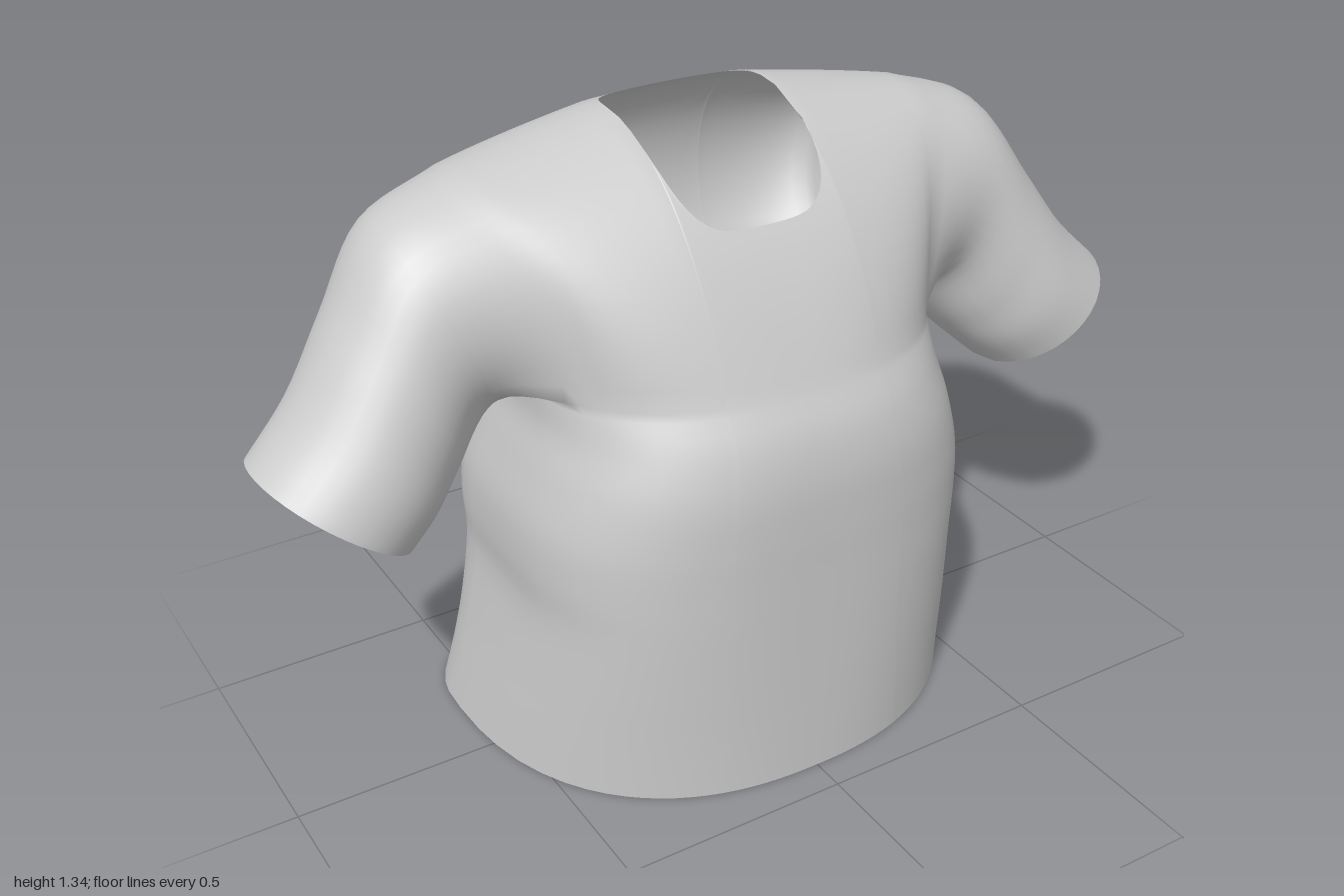
import * as THREE from 'three';
import { mergeGeometries, mergeVertices } from 'three/addons/utils/BufferGeometryUtils.js';

const V = (x, y, z) => new THREE.Vector3(x, y, z);
const lerp = THREE.MathUtils.lerp;
const Q_NECK = 0.4, Q_ARM = 0.91, NECK_X = 0.18, ARCH = 14;

// Surface through a grid of points (rows of equal length)
function grid(rows, closed, flip = false) {
  const n = rows[0].length, pos = [], idx = [];
  rows.forEach(r => r.forEach(p => pos.push(p.x, p.y, p.z)));
  for (let r = 0; r < rows.length - 1; r++) {
    for (let i = 0; i < (closed ? n : n - 1); i++) {
      const j = (i + 1) % n;
      const a = r * n + i, b = r * n + j, c = b + n, d = a + n;
      if (flip) idx.push(a, d, b, b, d, c);
      else idx.push(a, b, d, b, c, d);
    }
  }
  const g = new THREE.BufferGeometry();
  g.setAttribute('position', new THREE.Float32BufferAttribute(pos, 3));
  g.setIndex(idx);
  return g;
}

// Smooth interpolation between rings, vertex by vertex
function smoothRings(rings, steps) {
  const curves = rings[0].map((_, i) => new THREE.CatmullRomCurve3(rings.map(r => r[i])));
  return Array.from({ length: steps + 1 }, (_, k) => curves.map(c => c.getPoint(k / steps)));
}

// Columns across the chest, closer together beside the neck
const half = [];
for (let i = 0; i <= 14; i++) half.push(Q_NECK * Math.sin(i / 14 * Math.PI / 2));
for (let i = 1; i <= 10; i++) half.push(lerp(Q_NECK, Q_ARM, i / 10));
const columns = [...half.slice(1).reverse().map(q => -q), ...half];
const sideQ = [[0.95, 1], [0.98, 1], [0.995, 1], [1, 1], [0.995, -1], [0.98, -1], [0.95, -1]];

// Torso cross-section: q runs across the width, s is +1 front and -1 back
function torsoPoint([y, w, front, back, nFront, nBack, sideZ], q, s) {
  const n = s > 0 ? nFront : nBack;
  const f = Math.pow(Math.max(0, 1 - Math.pow(Math.abs(q), n)), 1 / n);
  return V(q * w, y, lerp(sideZ, s > 0 ? front : -back, f));
}
function torsoRing(section) {
  const reversed = [...columns].reverse();
  return [
    ...columns.map(q => torsoPoint(section, q, 1)),
    ...sideQ.map(([q, s]) => torsoPoint(section, q, s)),
    ...reversed.map(q => torsoPoint(section, q, -1)),
    ...sideQ.map(([q, s]) => torsoPoint(section, -q, -s)),
  ];
}
// height, half width, front depth, back depth, front and back squareness, z of the side
const sections = [
  [0, 0.565, 0.425, 0.425, 2.35, 3, -0.15],
  [0.12, 0.545, 0.425, 0.39, 2.45, 3.3, -0.1],
  [0.25, 0.523, 0.425, 0.362, 2.6, 3.8, -0.05],
  [0.4, 0.503, 0.425, 0.36, 2.75, 4.2, 0],
  [0.5, 0.508, 0.425, 0.36, 2.75, 4.2, 0],
  [0.6, 0.503, 0.425, 0.355, 2.75, 4, 0],
  [0.71, 0.475, 0.42, 0.33, 2.75, 3.7, 0],
  [0.8, 0.451, 0.4, 0.306, 2.6, 3.4, 0],
  [0.88, 0.45, 0.36, 0.305, 2.4, 3.1, 0],
];
const armpit = sections[sections.length - 1];

// Curve from armpit level up to the shoulder ridge, cut off at the neck opening
function yokeColumn(q, s) {
  const a = Math.abs(q), base = torsoPoint(armpit, q, s);
  const k = Math.max(0, (a - Q_NECK) / (Q_ARM - Q_NECK)), u = (a / Q_ARM) ** 2;
  const x = Math.sign(q) * (a <= Q_NECK ? a / Q_NECK * NECK_X : lerp(NECK_X, 0.52, k));
  const ridge = V(x, lerp(1.337, 1.285, k), lerp(-0.05, -0.08, k));
  const p1 = base.clone(), p2 = ridge.clone();
  if (s > 0) {
    p1.add(V(0, 0.2, lerp(-0.09, 0.01, u)));
    p2.add(V(0, lerp(-0.065, -0.005, u), lerp(0.22, 0.18, u)));
  } else {
    p1.add(V(0, lerp(0.22, 0.2, u), lerp(-0.105, -0.2, u)));
    p2.add(V(0, lerp(0.06, 0, u), lerp(-0.28, -0.21, u)));
  }
  const curve = new THREE.CubicBezierCurve3(base, p1, p2, ridge);
  let end = 1;
  if (a < Q_NECK - 1e-6) {
    const edgeZ = lerp(ridge.z, 0.2 * s, Math.pow(1 - Math.pow(a / Q_NECK, 4), 0.25));
    let low = 0.3;
    for (let i = 0; i < 24; i++) {
      const mid = (low + end) / 2;
      if ((curve.getPoint(mid).z - edgeZ) * s > 0) low = mid;
      else end = mid;
    }
  }
  return Array.from({ length: ARCH + 1 }, (_, i) => curve.getPoint(end * i / ARCH));
}
function yoke(s) {
  const cols = (s > 0 ? columns : [...columns].reverse()).map(q => yokeColumn(q, s));
  return grid(cols[0].map((_, t) => cols.map(c => c[t])), false);
}

// Sleeve rings, starting at the armhole and ending at the cuff
function sleeveRings() {
  const armhole = [
    ...yokeColumn(Q_ARM, 1).reverse(),
    ...sideQ.map(([q, s]) => torsoPoint(armpit, q, s)),
    ...yokeColumn(Q_ARM, -1).slice(0, -1),
  ];
  const angles = armhole.map(p => Math.atan2((p.y - 1.07) / 0.2, (p.z + 0.07) / 0.21));
  const ring = (top, bottom, front, back) => angles.map(t => V(
    lerp(bottom[0], top[0], (1 + Math.sin(t)) / 2),
    lerp(bottom[1], top[1], (1 + Math.sin(t)) / 2),
    (front + back) / 2 + (front - back) / 2 * Math.cos(t)));
  return smoothRings([
    armhole,
    ring([0.69, 1.22], [0.515, 0.81], 0.13, -0.28),
    ring([0.8, 1.065], [0.6, 0.715], 0.155, -0.24),
    ring([0.9, 0.92], [0.655, 0.66], 0.18, -0.205),
    ring([1.0, 0.82], [0.715, 0.605], 0.188, -0.178),
  ], 24);
}

// Folded edge lying just inside an opening
function foldedEdge(rings, inset) {
  return rings.map((ring, k) => {
    if (k === 0) return ring;
    const centre = ring.reduce((c, p) => c.add(p), V(0, 0, 0)).divideScalar(ring.length);
    return ring.map(p => p.clone().lerp(centre, inset));
  });
}

export function createModel() {
  const group = new THREE.Group();
  const material = new THREE.MeshStandardMaterial({
    color: 0xcccccc, roughness: 0.9, side: THREE.DoubleSide });
  const add = (name, geometry) => {
    const g = mergeVertices(geometry, 1e-5);
    g.computeVertexNormals();
    const mesh = new THREE.Mesh(g, material);
    mesh.name = name;
    group.add(mesh);
  };

  const torso = smoothRings(sections.map(torsoRing), 40);
  const sleeve = sleeveRings();
  const mirrored = sleeve.map(r => r.map(p => V(-p.x, p.y, p.z)));

  // Body, shoulders and sleeves form one seamless cloth
  add('shirtCloth', mergeGeometries([
    grid(torso, true), yoke(1), yoke(-1),
    grid(sleeve, true), grid(mirrored, true, true),
  ]));

  // Turned-in hem and cuffs
  add('bottomHem', grid(foldedEdge(torso.slice(0, 4), 0.015), true, true));
  const cuff = foldedEdge(sleeve.slice(-4).reverse(), 0.03);
  add('leftCuff', grid(cuff, true));
  add('rightCuff', grid(cuff.map(r => r.map(p => V(-p.x, p.y, p.z))), true, true));
  return group;
}
